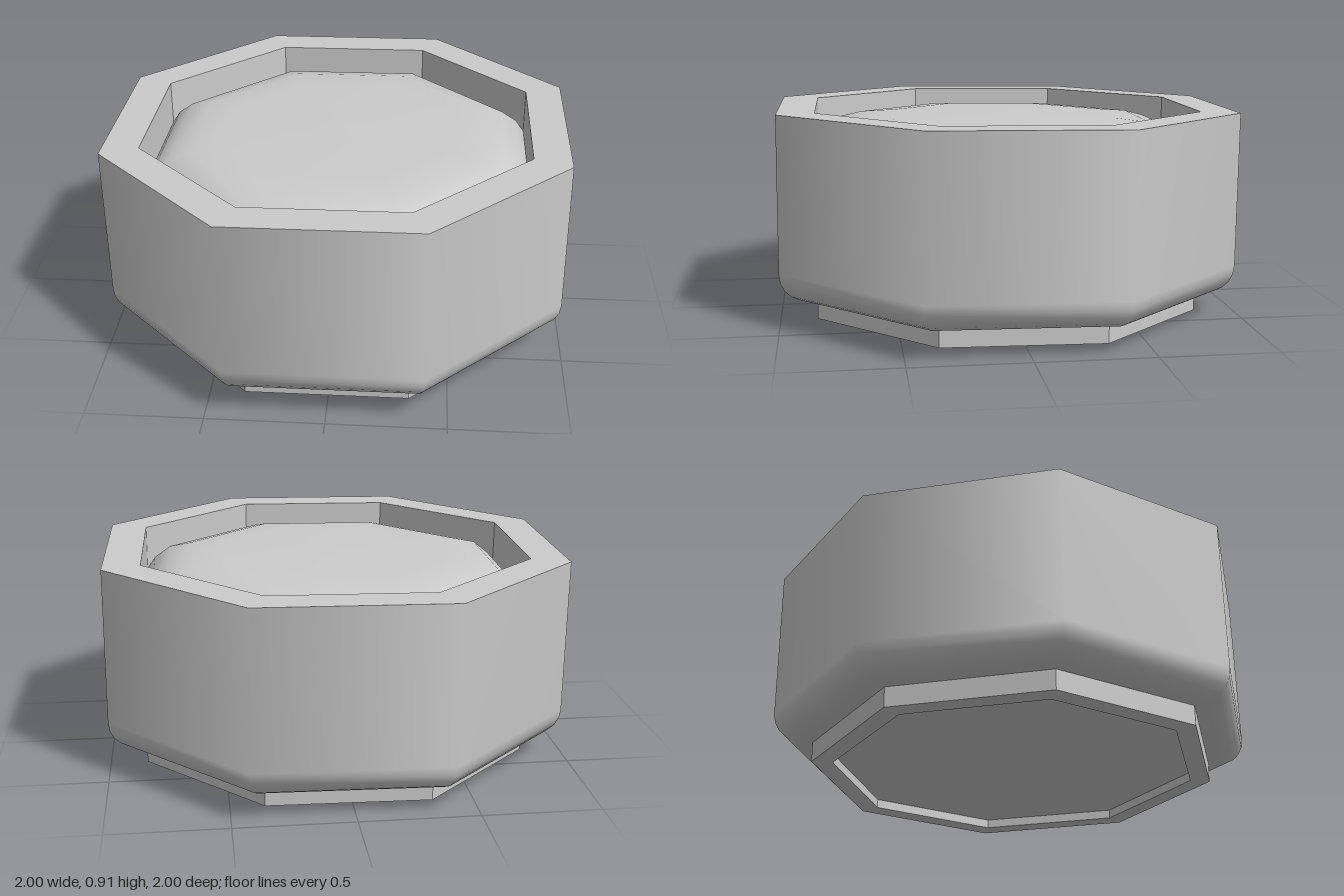
import * as THREE from 'three';

const SIDES = 8;

// Quarter-round profile points about (cx, cy), angles in degrees
function arc(cx, cy, radius, from, to, steps = 5) {
  return Array.from({ length: steps + 1 }, (_, i) => {
    const a = THREE.MathUtils.degToRad(from + ((to - from) * i) / steps);
    return [cx + radius * Math.cos(a), cy + radius * Math.sin(a)];
  });
}

// Octagonal turned part, with flat sides facing the four axes
function turned(name, profile, flatShading) {
  const points = profile.map(([r, y]) => new THREE.Vector2(r, y));
  const geometry = new THREE.LatheGeometry(points, SIDES, Math.PI / SIDES);
  const material = new THREE.MeshStandardMaterial({
    color: 0xcccccc,
    flatShading,
    side: THREE.DoubleSide,
  });
  const mesh = new THREE.Mesh(geometry, material);
  mesh.name = name;
  return mesh;
}

export function createModel() {
  const group = new THREE.Group();
  group.name = 'octagonalBowl';

  // Heights are measured from the underside of the foot
  const outer = 1.073, inner = 0.9, top = 0.889, base = 0.088, edge = 0.125;

  // The whole bowl leans and turns very slightly
  const bowl = new THREE.Group();
  bowl.name = 'bowl';
  bowl.rotation.set(-0.01, -0.011, 0.0085);
  bowl.position.set(0.004, 0.012, 0.004);
  group.add(bowl);

  // Smooth outer wall with rounded lower edge
  const body = turned('body', [
    [0.8, base],
    ...arc(outer - edge, base + edge, edge, -90, 0),
    [outer, top],
  ], false);

  // Flat rim and faceted inner wall
  const rim = turned('rim', [[outer, top], [inner, top], [inner, 0.67]], true);

  // Gently domed filling that falls away towards the wall
  const filling = turned('filling', [
    [inner, 0.69], [0.86, 0.75], [0.783, 0.808],
    [0.68, 0.834], [0.52, 0.848], [0, 0.854],
  ], false);

  // Foot ring with shallow recess underneath
  const foot = turned('foot', [
    [0, 0.04], [0.808, 0.04], [0.808, 0], [inner, 0], [inner, base],
  ], true);

  bowl.add(body, rim, filling, foot);
  return group;
}
